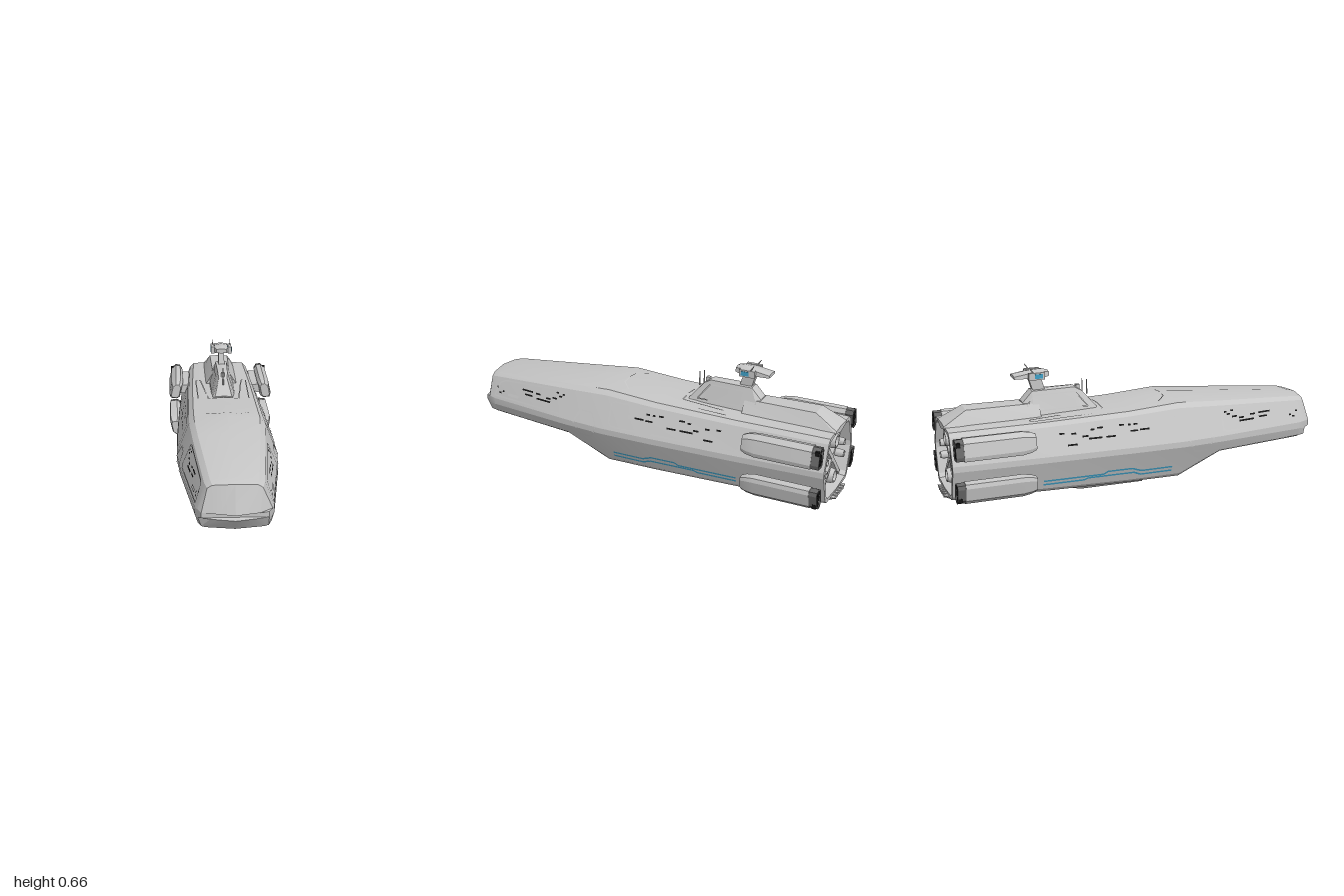
import * as THREE from 'three';
import { toCreasedNormals } from 'three/addons/utils/BufferGeometryUtils.js';

const mat = (name, color) => new THREE.MeshStandardMaterial({ name, color, side: THREE.DoubleSide });

// Hull half-sections, roof centre to keel centre; z recedes by k * x at the nose
const SECTIONS = [
  { z: 1.0, k: 0.22, p: [[0, .255], [.07, .257], [.11, .258], [.15, .26], [.15, .235], [.11, .232], [.07, .231], [0, .23]] },
  { z: .955, k: .1, p: [[0, .385], [.1, .379], [.123, .365], [.167, .265], [.165, .225], [.15, .185], [.13, .18], [0, .175]] },
  { z: .9, p: [[0, .4], [.11, .39], [.135, .373], [.178, .262], [.178, .228], [.165, .187], [.15, .177], [0, .172]] },
  { z: .42, p: [[0, .442], [.15, .425], [.175, .405], [.237, .26], [.237, .23], [.215, .18], [.2, .168], [0, .165]] },
  { z: .2, p: [[0, .463], [.165, .443], [.19, .42], [.253, .26], [.253, .23], [.19, .07], [.17, .05], [0, .035]] },
  { z: -.07, p: [[0, .435], [.165, .425], [.188, .405], [.25, .26], [.25, .23], [.19, .07], [.17, .052], [0, .04]] },
  { z: -.5, p: [[0, .428], [.16, .415], [.18, .395], [.236, .26], [.236, .23], [.185, .08], [.165, .06], [0, .052]] },
  { z: -.98, p: [[0, .422], [.145, .41], [.165, .39], [.213, .26], [.213, .23], [.168, .09], [.148, .07], [0, .06]] },
];

// Full ring from a half-section
function ring({ z, k = 0, p }) {
  const last = p.length - 1;
  const left = p.slice(1, last).reverse().map(([x, y]) => [-x, y]);
  return [...p, ...left].map(([x, y]) => new THREE.Vector3(x, y, z - k * Math.abs(x)));
}

// Skin rings ordered front to back; caps are strips across each end ring
function loft(rings, crease = 0.3) {
  const v = [], n = rings[0].length, front = rings[0], back = rings[rings.length - 1];
  const quad = (a, b, c, d) => [a, b, c, a, c, d].forEach(q => v.push(q.x, q.y, q.z));
  for (let i = 0; i < rings.length - 1; i++)
    for (let j = 0; j < n; j++) {
      const k = (j + 1) % n;
      quad(rings[i][j], rings[i][k], rings[i + 1][k], rings[i + 1][j]);
    }
  for (let j = 0; j < n / 2; j++) {
    const o = (n - j) % n, q = n - j - 1;
    quad(front[o], front[q], front[j + 1], front[j]);
    quad(back[j], back[j + 1], back[q], back[o]);
  }
  const g = new THREE.BufferGeometry();
  g.setAttribute('position', new THREE.Float32BufferAttribute(v, 3));
  return toCreasedNormals(g, crease);
}

// Hull surface lookups
function sectionAt(z) {
  let i = 1;
  while (i < SECTIONS.length - 2 && SECTIONS[i + 1].z > z) i++;
  const a = SECTIONS[i], b = SECTIONS[i + 1], t = (a.z - z) / (a.z - b.z);
  return a.p.map(([x, y], j) => [x + (b.p[j][0] - x) * t, y + (b.p[j][1] - y) * t]);
}
function lookUp(chain, from, to, value) {
  for (let i = 0; i < chain.length - 1; i++) {
    const a = chain[i], b = chain[i + 1], d = b[from] - a[from];
    const t = d ? (value - a[from]) / d : 2;
    if (t >= 0 && t <= 1) return a[to] + (b[to] - a[to]) * t;
  }
  return chain[chain.length - 1][to];
}
const onSide = s => (z, y) => [s * (lookUp(sectionAt(z), 1, 0, y) + .004), y, z];
const onTop = (z, x) => [x, lookUp(sectionAt(z).slice(0, 4), 0, 1, Math.abs(x)) + .003, z];
const onBottom = (z, x) => [x, lookUp(sectionAt(z).slice(4).reverse(), 0, 1, Math.abs(x)) - .003, z];

// Thin ribbons laid on the hull; segments are [a1, b1, a2, b2, width]
function ribbons(segments, place) {
  const v = [], steps = 6;
  for (const [a1, b1, a2, b2, w] of segments) {
    const l = Math.hypot(a2 - a1, b2 - b1), na = -(b2 - b1) / l * w / 2, nb = (a2 - a1) / l * w / 2;
    const at = (t, s) => place(a1 + (a2 - a1) * t + s * na, b1 + (b2 - b1) * t + s * nb);
    for (let i = 0; i < steps; i++) {
      const t = i / steps, u = (i + 1) / steps;
      const corners = [at(t, -1), at(u, -1), at(u, 1), at(t, 1)].map(c => new THREE.Vector3(...c));
      // Order the corners so that every ribbon faces away from the hull's core
      const mid = corners[0].clone().add(corners[2]).multiplyScalar(.5);
      const normal = corners[1].clone().sub(corners[0]).cross(corners[2].clone().sub(corners[0]));
      if (normal.dot(new THREE.Vector3(mid.x, mid.y - .24, 0)) < 0) corners.reverse();
      for (const c of [0, 1, 2, 0, 2, 3]) v.push(...corners[c].toArray());
    }
  }
  const g = new THREE.BufferGeometry();
  g.setAttribute('position', new THREE.Float32BufferAttribute(v, 3));
  g.computeVertexNormals();
  return g;
}
const path = (pts, w, closed) => pts.slice(0, closed ? pts.length : -1)
  .map((p, i) => [...p, ...pts[(i + 1) % pts.length], w]);

export function createModel() {
  const group = new THREE.Group();
  const hull = mat('hull grey', 0xc6c6c6), dark = mat('exhaust grey', 0x686868);
  const black = mat('window black', 0x141414), blue = mat('light blue', 0x3f9fc6);
  const add = (name, geo, m, x = 0, y = 0, z = 0) => {
    const mesh = new THREE.Mesh(geo, m);
    mesh.name = name;
    mesh.position.set(x, y, z);
    group.add(mesh);
    return mesh;
  };
  const box = (name, m, w, h, d, x, y, z) => add(name, new THREE.BoxGeometry(w, h, d), m, x, y, z);
  const solid = (name, m, sections) => add(name, loft(sections.map(ring)), m);

  // Main hull with a hollow stern
  const stern = SECTIONS[SECTIONS.length - 1].p;
  const shrink = (f, z) => ({ z, p: stern.map(([x, y]) => [x * f, .24 + (y - .24) * f]) });
  solid('hull', hull, [...SECTIONS, shrink(.9, -.98), shrink(.82, -.9)]);

  // Stern dividers and nozzles
  for (const s of [-1, 1]) {
    const bar = box('sternDivider', hull, .36, .022, .055, 0, .24, -.925);
    bar.rotation.z = s * .82;
  }
  const nozzle = (x, y, r) => {
    const prof = [[.6, 0], [.6, .02], [1, .025], [1, .05], [.85, .07], [.7, .07], [.6, .03], [0, .03]];
    const g = new THREE.LatheGeometry(prof.map(([a, b]) => new THREE.Vector2(a * r, b)), 20);
    add('nozzle', toCreasedNormals(g.rotateX(-Math.PI / 2), .5), hull, x, y, -.9);
    add('nozzleCore', new THREE.CircleGeometry(r * .55, 16).rotateY(Math.PI), dark, x, y, -.935);
  };
  for (const y of [.335, .145]) nozzle(0, y, .038);
  for (const x of [-.13, .13]) for (const y of [.275, .21]) nozzle(x, y, .02);
  solid('sternLip', hull, [
    { z: -.75, p: [[0, .07], [.075, .07], [.06, .045], [0, .04]] },
    { z: -.96, p: [[0, .07], [.085, .07], [.065, .04], [0, .035]] },
    { z: -1.0, p: [[0, .07], [.085, .07], [.065, .06], [0, .057]] },
  ]);
  for (let i = -2; i <= 2; i++) box('sternRib', hull, .008, .02, .03, i * .028, .064, -.985);

  // Keel and raised rear spine
  solid('keel', hull, [
    { z: .035, p: [[0, .08], [.107, .07], [.107, .042], [.08, .01], [0, 0]] },
    { z: -.3, p: [[0, .08], [.107, .07], [.107, .042], [.08, .012], [0, .004]] },
    { z: -.47, p: [[0, .08], [.1, .075], [.1, .06], [.075, .052], [0, .05]] },
  ]);
  solid('spine', hull, [
    { z: -.5, p: [[0, .482], [.045, .482], [.085, .42], [0, .4]] },
    { z: -.87, p: [[0, .487], [.05, .485], [.085, .418], [0, .4]] },
    { z: -.985, p: [[0, .425], [.075, .42], [.085, .41], [0, .39]] },
  ]);

  // Bridge, mast and lookout head
  solid('bridge', hull, [
    { z: -.2, p: [[0, .438], [.045, .436], [.06, .42], [0, .41]] },
    { z: -.27, p: [[0, .52], [.022, .517], [.062, .42], [0, .41]] },
    { z: -.31, p: [[0, .545], [.026, .54], [.064, .42], [0, .41]] },
    { z: -.53, p: [[0, .545], [.03, .54], [.066, .42], [0, .41]] },
    { z: -.58, p: [[0, .49], [.03, .485], [.066, .42], [0, .41]] },
  ]);
  const bridgeSide = s => (z, y) => [s * (.066 - (y - .42) * .3 + .003), y, z];
  const bridgeFrame = path([[-.25, .445], [-.31, .52], [-.52, .52], [-.56, .48], [-.56, .445]], .006, true);
  for (const s of [-1, 1]) add('bridgePanel', ribbons(bridgeFrame, bridgeSide(s)), hull);
  const mast = box('mast', hull, .032, .11, .06, 0, .57, -.5);
  mast.rotation.x = -.3;
  box('mastSlot', hull, .02, .04, .02, 0, .525, -.285);
  solid('lookoutHead', hull, [
    { z: -.44, p: [[0, .636], [.026, .632], [.03, .612], [0, .61]] },
    { z: -.47, p: [[0, .645], [.036, .636], [.038, .607], [0, .606]] },
    { z: -.53, p: [[0, .643], [.036, .635], [.038, .607], [0, .606]] },
    { z: -.62, p: [[0, .626], [.036, .622], [.038, .61], [0, .609]] },
  ]);
  for (const s of [-1, 1]) {
    box('sensor', hull, .018, .036, .08, s * .047, .62, -.51);
    box('sensorLight', blue, .022, .022, .04, s * .048, .62, -.5);
    const rod = add('headAntenna', new THREE.CylinderGeometry(.002, .004, .05, 6), hull, s * .047, .642, -.53);
    rod.rotation.x = -.6;
  }
  for (const [z, h] of [[-.235, .075], [-.26, .085]])
    add('bridgeAntenna', new THREE.CylinderGeometry(.002, .004, h, 6), hull, 0, .49 + h / 2, z);

  // Four outrigger engine pods; the profile is for x < 0, so mirrored rings are reversed
  const podProfile = [[-.276, .39], [-.25, .412], [-.225, .407], [-.212, .385], [-.228, .311], [-.246, .299], [-.285, .304], [-.29, .325]];
  for (const sx of [-1, 1]) for (const sy of [-1, 1]) {
    const rings = list => list.map(([z, f]) => {
      const pts = podProfile.map(([x, y]) =>
        new THREE.Vector3(sx * (.252 - (x + .252) * f), .247 + sy * (.108 + (y - .355) * f), z));
      return sx * sy > 0 ? pts.reverse() : pts;
    });
    add('pod', loft(rings([[-.58, .68], [-.605, .87], [-.65, 1], [-.935, 1]])), hull);
    add('podExhaust', loft(rings([[-.935, .93], [-.975, .93], [-.975, .78], [-.95, .72]])), dark);
    for (let i = -1; i <= 1; i++)
      box('podSlot', black, .035, .022, .02, sx * (.252 + i * .009), .247 + sy * (.108 + i * .03), -.962);
    box('podPylon', hull, .06, .045, .29, sx * .205, .247 + sy * .108, -.77);
  }

  // Side panels, hatches, light stripes and rows of windows
  const hex = [[.37, .26], [.335, .325], [.265, .325], [.23, .26], [.265, .195], [.335, .195]];
  const outlines = [
    ...path([[.9, .28], [.45, .28], [.43, .29], [.43, .385], [.45, .393], [.84, .365], [.87, .35]], .007, true),
    ...path([[.14, .28], [.16, .295], [.16, .39], [.14, .4], [-.53, .39], [-.55, .38], [-.55, .295], [-.53, .283]], .007, true),
    ...path(hex, .009, true),
  ];
  const stripes = [
    ...path([[.15, .12], [-.02, .12], [-.07, .14], [-.2, .14], [-.22, .126], [-.53, .126]], .009),
    ...path([[.15, .098], [-.02, .098], [-.06, .115], [-.3, .115], [-.32, .106], [-.53, .106]], .009),
  ];
  // Each window row: start z, y, length
  const windows = [
    [-.04, .37, .02], [-.075, .37, .015], [-.11, .372, .025], [-.22, .37, .03], [-.265, .365, .02],
    [.02, .342, .05], [-.04, .34, .04], [-.16, .325, .05], [-.23, .325, .07], [-.3, .338, .03],
    [-.36, .355, .025], [-.36, .305, .05], [-.42, .36, .025],
    [.89, .325, .012], [.87, .3, .014], [.85, .31, .012], [.72, .345, .07], [.63, .343, .03], [.7, .325, .05],
    [.62, .32, .09], [.56, .335, .03], [.52, .345, .03], [.5, .375, .016], [.48, .36, .02], [.46, .372, .014],
  ].map(([z, y, l]) => [z, y, z - l, y, .008]);
  const lamps = [[.055, .342, .035, .342, .014], [.81, .3, .74, .3, .014]];
  for (const s of [-1, 1]) {
    add('sidePanelSeams', ribbons(outlines, onSide(s)), hull);
    add('sideWindows', ribbons(windows, onSide(s)), black);
    add('sideLamps', ribbons(lamps, onSide(s)), hull);
    add('lightStripes', ribbons(stripes, onSide(s)), blue);
  }

  // Deck and belly seams
  const deck = [...path([[.11, -.115], [.16, -.06], [.16, .06], [.11, .115]], .005), [-.18, -.08, -.18, .08, .007]];
  const belly = path([[-.52, -.13], [-.52, .13], [-.74, .13], [-.74, -.13]], .007, true);
  for (const s of [-1, 1]) {
    deck.push(...path([[-.57, s * .14], [-.57, s * .115], [-.18, s * .08]], .007), [-.57, s * .14, -.2, s * .135, .006]);
    belly.push(...path([[.405, s * .02], [.405, s * .19], [.225, s * .15], [.225, s * .02]], .008, true));
  }
  add('deckSeams', ribbons(deck, onTop), hull);
  add('bellySeams', ribbons(belly, onBottom), hull);
  return group;
}
